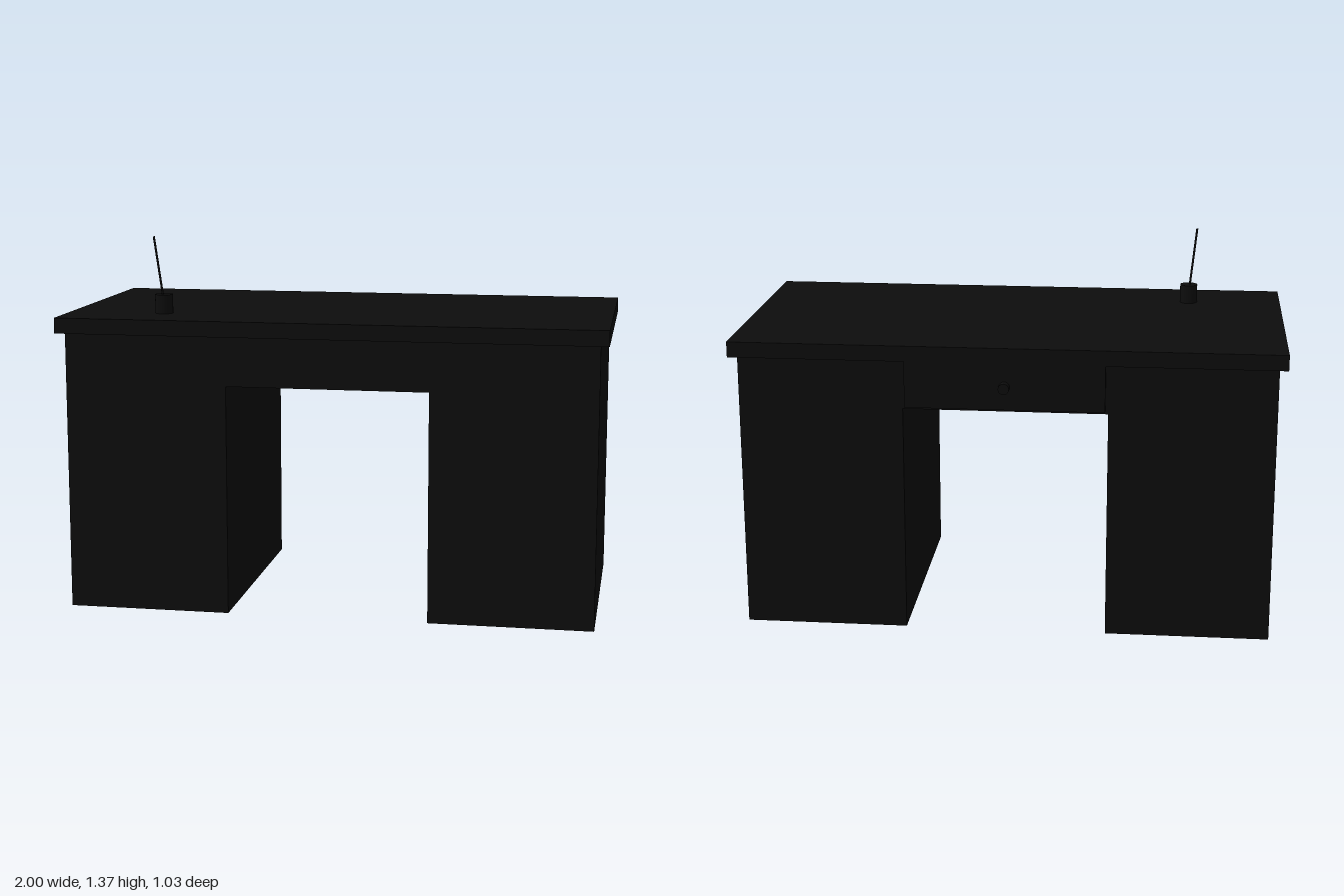
import * as THREE from 'three';

export function createModel() {
  const group = new THREE.Group();
  group.name = 'desk';
  const black = new THREE.MeshStandardMaterial({ name: 'black', color: 0x0d0d0d });

  const add = (name, geometry, x, y, z) => {
    const mesh = new THREE.Mesh(geometry, black);
    mesh.name = name;
    mesh.position.set(x, y, z);
    group.add(mesh);
    return mesh;
  };
  // Box given by its limits on each axis
  const box = (name, x0, x1, y0, y1, z0, z1) =>
    add(name, new THREE.BoxGeometry(x1 - x0, y1 - y0, z1 - z0),
      (x0 + x1) / 2, (y0 + y1) / 2, (z0 + z1) / 2);

  // Desk top and the two pedestals
  box('deskTop', -1, 1, 1.03, 1.087, -0.485, 0.515);
  box('leftPedestal', 0.37, 0.97, 0, 1.03, -0.457, 0.485);
  box('rightPedestal', -0.97, -0.37, 0, 1.03, -0.457, 0.485);

  // Middle drawer with its raised face and knob on the back
  box('drawerBody', -0.37, 0.37, 0.847, 1.03, -0.457, 0.485);
  box('drawerFace', -0.36, 0.36, 0.86, 1.03, -0.485, -0.457);
  const knob = add('drawerKnob', new THREE.CylinderGeometry(0.02, 0.02, 0.03, 20), 0, 0.945, -0.5);
  knob.rotation.x = Math.PI / 2;

  // Pen holder with a leaning pen
  add('penHolder', new THREE.CylinderGeometry(0.033, 0.033, 0.07, 24), -0.645, 1.122, 0.302);
  const from = new THREE.Vector3(-0.643, 1.1, 0.298);
  const to = new THREE.Vector3(-0.672, 1.372, 0.33);
  const direction = to.clone().sub(from);
  const middle = from.clone().add(to).multiplyScalar(0.5);
  const pen = add('pen', new THREE.CylinderGeometry(0.004, 0.004, direction.length(), 12),
    middle.x, middle.y, middle.z);
  pen.quaternion.setFromUnitVectors(new THREE.Vector3(0, 1, 0), direction.normalize());

  return group;
}
